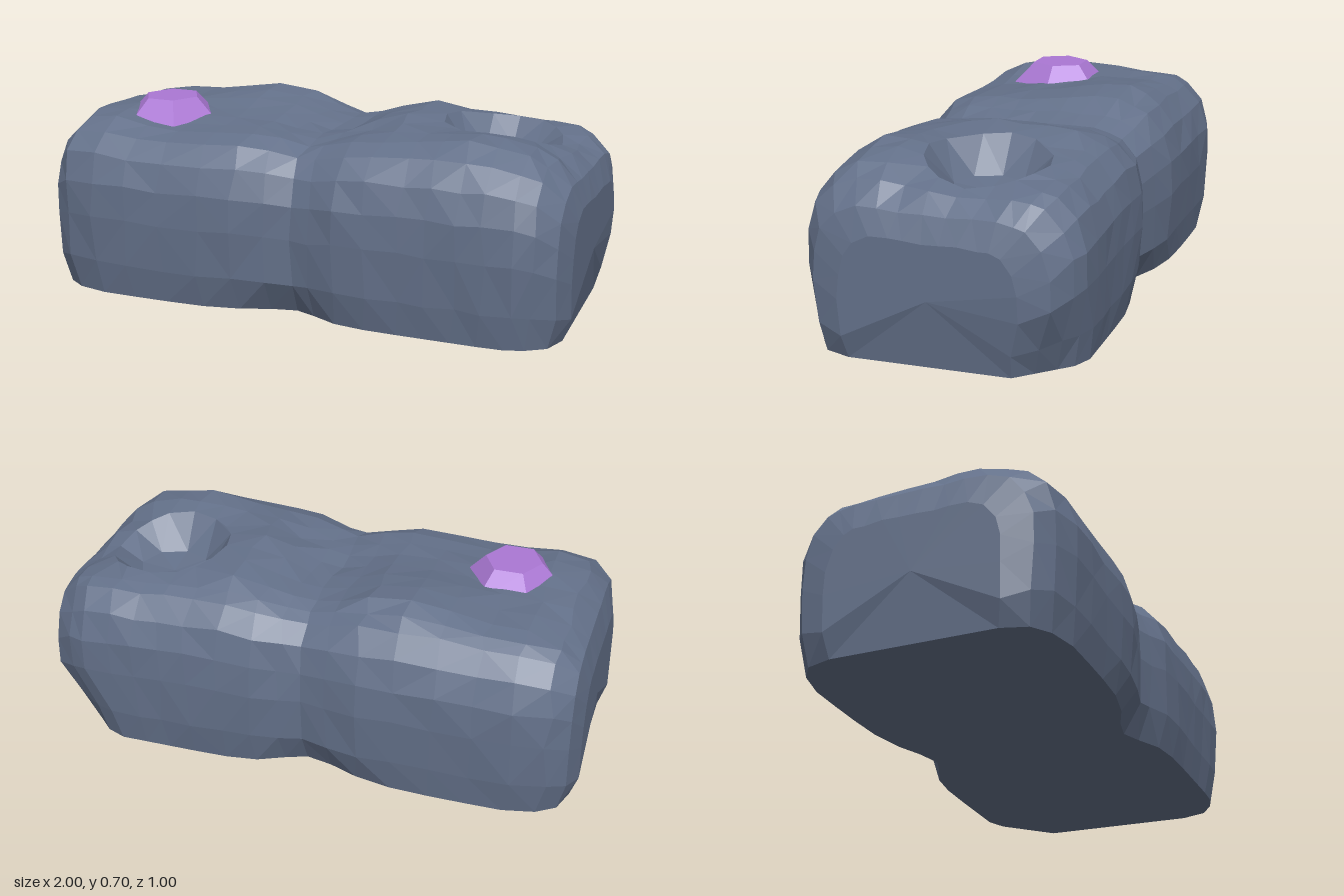
import * as THREE from 'three';

const stone = new THREE.MeshStandardMaterial({ color: 0x64718a, flatShading: true });
stone.name = 'slate stone';
const violet = new THREE.MeshStandardMaterial({ color: 0xab78d4, flatShading: true });
violet.name = 'violet crystal';

// Stations along the rock: x, half width, base height
const stations = [
  [-1, 0.32, 0.46], [-0.97, 0.42, 0.57], [-0.9, 0.47, 0.625], [-0.78, 0.498, 0.64],
  [-0.64, 0.5, 0.64], [-0.5, 0.5, 0.635], [-0.35, 0.5, 0.635], [-0.21, 0.495, 0.635],
  [-0.1, 0.47, 0.62], [0, 0.445, 0.6], [0.08, 0.465, 0.61], [0.18, 0.495, 0.63],
  [0.3, 0.5, 0.64], [0.43, 0.5, 0.64], [0.53, 0.5, 0.64], [0.63, 0.5, 0.64],
  [0.73, 0.5, 0.64], [0.83, 0.495, 0.63], [0.9, 0.47, 0.605], [0.97, 0.42, 0.54], [1, 0.32, 0.45],
];

// Cross-section from front foot over the top to back foot: z, fraction of height
const side = [[0.47, 0], [0.49, 0.2], [0.5, 0.48], [0.495, 0.68], [0.465, 0.84], [0.4, 0.95]];
const section = [
  ...side, [0.31, 1], [0.21, 1], [0.12, 1], [0.02, 1], [-0.08, 1], [-0.18, 1], [-0.28, 1], [-0.35, 0.98],
  ...side.map(([z, f]) => [-z, f]).reverse(),
];

const crater = { x: 0.63, z: -0.08, station: 15, row: 10, radii: [0, 0.13, 0.22], floor: [0.53, 0.545] };

const bump = (x, z, cx, cz, sx, sz, a) => a * Math.exp(-(((x - cx) / sx) ** 2) - ((z - cz) / sz) ** 2);

// Low humps and hollows on the upper surface
const humps = (x, z) =>
  bump(x, z, -0.36, -0.23, 0.23, 0.2, 0.055) +
  bump(x, z, 0.64, 0.24, 0.22, 0.17, 0.048) +
  bump(x, z, 0.32, -0.1, 0.16, 0.3, 0.05) +
  bump(x, z, -0.85, 0.15, 0.15, 0.25, 0.02) -
  bump(x, z, -0.52, 0.33, 0.22, 0.18, 0.022) -
  bump(x, z, 0.88, -0.1, 0.14, 0.16, 0.025);

function baseHeight(x) {
  const s = Math.max(1, stations.findIndex((st) => st[0] >= x));
  const [a, b] = [stations[s - 1], stations[s]];
  return THREE.MathUtils.lerp(a[2], b[2], (x - a[0]) / (b[0] - a[0]));
}

let seed = 7;
const jitter = (a) => {
  seed = (seed * 16807) % 2147483647;
  return (seed / 2147483647 - 0.5) * 2 * a;
};

function rockPoint(s, r) {
  // The square patch of the grid around the crater becomes circular rings
  const i = s - crater.station, j = crater.row - r;
  const ring = Math.max(Math.abs(i), Math.abs(j));
  if (ring <= 2) {
    const angle = Math.atan2(j, i), radius = crater.radii[ring];
    const x = crater.x + radius * Math.cos(angle), z = crater.z + radius * Math.sin(angle);
    return new THREE.Vector3(x, ring < 2 ? crater.floor[ring] : baseHeight(x) + humps(x, z), z);
  }
  const [sx, halfWidth, height] = stations[s];
  const [sz, f] = section[r];
  let x = sx, z = (sz * halfWidth) / 0.5;
  let y = f * (height + (Math.abs(x) < 0.95 ? humps(x, z) : 0));
  if (f > 0) {
    y += jitter(0.006);
    if (Math.abs(sx) < 0.95) x += jitter(0.012);
    z += jitter(0.005);
  } else {
    // Underside draws in at the ends and at the waist
    x *= 0.97;
    z *= 1 - bump(x, 0, -0.05, 0, 0.2, 1, 0.11);
  }
  // One back corner is chipped near the ground
  const chip = x - z - 1.22;
  if (y < 0.25 && chip > 0) {
    const d = (chip / 2) * (1 - y / 0.25);
    x -= d;
    z += d;
  }
  return new THREE.Vector3(x, y, THREE.MathUtils.clamp(z, -0.5, 0.5));
}

function buildRock() {
  const n = section.length, last = stations.length - 1;
  const grid = stations.map((_, s) => section.map((_, r) => rockPoint(s, r)));
  const out = [];
  const tri = (...pts) => pts.forEach((p) => out.push(p.x, p.y, p.z));
  // Skin and underside, each quad split on its shorter diagonal
  for (let s = 0; s < last; s++) {
    for (let r = 0; r < n; r++) {
      const q = (r + 1) % n;
      const a = grid[s][r], b = grid[s + 1][r], c = grid[s + 1][q], d = grid[s][q];
      if (a.distanceTo(c) <= b.distanceTo(d)) {
        tri(a, b, c);
        tri(a, c, d);
      } else {
        tri(a, b, d);
        tri(b, c, d);
      }
    }
  }
  // End caps
  const left = new THREE.Vector3(1, 0.25, 0), right = new THREE.Vector3(-1, 0.25, 0);
  for (let r = 0; r < n; r++) {
    const q = (r + 1) % n;
    tri(left, grid[last][q], grid[last][r]);
    tri(right, grid[0][r], grid[0][q]);
  }
  const geo = new THREE.BufferGeometry();
  geo.setAttribute('position', new THREE.Float32BufferAttribute(out, 3));
  geo.computeVertexNormals();
  return geo;
}

export function createModel() {
  const group = new THREE.Group();
  group.name = 'rockWithCrystal';

  const rock = new THREE.Mesh(buildRock(), stone);
  rock.name = 'rock';
  group.add(rock);

  // Six-sided crystal set into the top, with a flat table
  const gem = new THREE.CylinderGeometry(0.105, 0.2, 0.1, 6);
  gem.rotateY(Math.PI / 6);
  gem.scale(1, 1, 1.06);
  const crystal = new THREE.Mesh(gem, violet);
  crystal.name = 'crystal';
  crystal.position.set(-0.64, 0.649, 0.1);
  group.add(crystal);
  return group;
}
